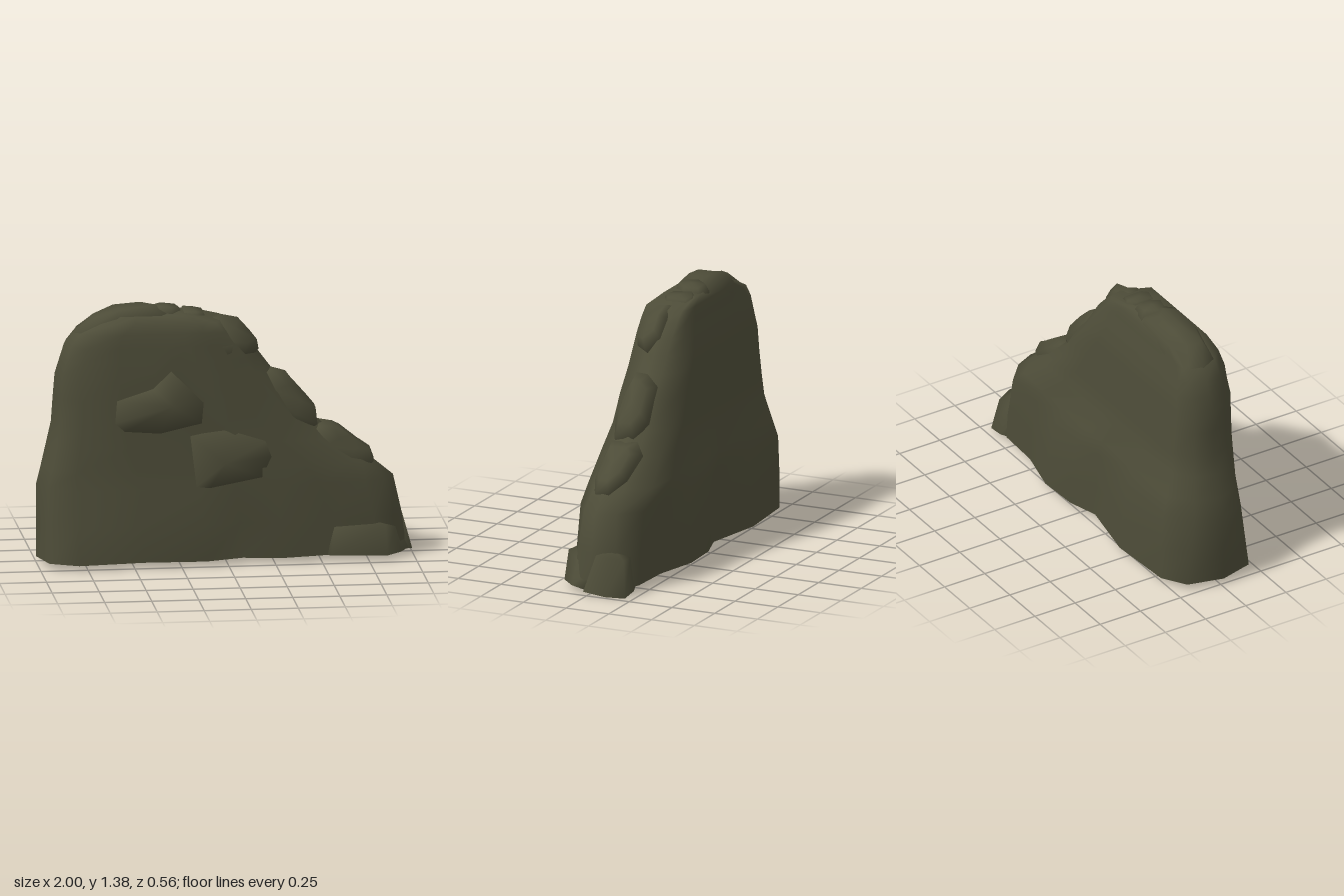
import * as THREE from 'three';

const rock = new THREE.MeshStandardMaterial({ color: 0x4d4c38, side: THREE.DoubleSide });
rock.name = 'mossy rock';

// Skins a stack of equal-length closed rings; optionally closes onto a tip.
function loft(name, rings, tip) {
  const n = rings[0].length, pos = rings.flat(2), index = [];
  for (let j = 0; j < rings.length - 1; j++) {
    for (let i = 0; i < n; i++) {
      const a = j * n + i, b = j * n + (i + 1) % n;
      index.push(a, b, b + n, a, b + n, a + n);
    }
  }
  if (tip) {
    const t = pos.length / 3, k = (rings.length - 1) * n;
    pos.push(...tip);
    for (let i = 0; i < n; i++) index.push(k + i, k + (i + 1) % n, t);
  }
  const g = new THREE.BufferGeometry();
  g.setAttribute('position', new THREE.Float32BufferAttribute(pos, 3));
  g.setIndex(index);
  g.computeVertexNormals();
  const mesh = new THREE.Mesh(g, rock);
  mesh.name = name;
  return mesh;
}

// Domed stone: an outline, a raised smaller outline, and a tip.
// lift is the outward offset, inner the size of the raised outline.
function stone(name, outline, lift, inner) {
  const c = [0, 1, 2].map(k => outline.reduce((s, p) => s + p[k], 0) / outline.length);
  const sunk = outline.map(p => p.map((v, k) => v - lift[k]));
  const raised = outline.map(p => p.map((v, k) => c[k] + (v - c[k]) * inner + lift[k] * 0.9));
  return loft(name, [sunk, outline, raised], c.map((v, k) => v + lift[k]));
}

export function createModel() {
  const group = new THREE.Group();
  group.name = 'rockWall';

  // Wall footprint, running left, front, right, back
  const footprint = [
    [-1, 0.02], [-0.95, 0.21], [-0.8, 0.28], [-0.45, 0.24], [-0.12, 0.25], [0.08, 0.185], [0.3, 0.215],
    [0.55, 0.17], [0.8, 0.16], [0.91, 0.12], [0.97, 0], [0.92, -0.14], [0.8, -0.21],
    [0.55, -0.22], [0.3, -0.28], [0.07, -0.27], [-0.1, -0.22], [-0.45, -0.285],
    [-0.82, -0.26], [-0.95, -0.18],
  ];
  // Height, left edge, right edge, front limit, back limit
  const rows = [
    [0.03, -1, 0.97, 0.28, 0.285], [0.22, -1, 0.945, 0.25, 0.27], [0.42, -1, 0.9, 0.222, 0.25],
    [0.52, -0.975, 0.78, 0.215, 0.22], [0.65, -0.945, 0.61, 0.21, 0.18], [0.76, -0.92, 0.46, 0.205, 0.17],
    [0.9, -0.91, 0.36, 0.2, 0.155], [1.02, -0.9, 0.25, 0.195, 0.145], [1.1, -0.875, 0.19, 0.185, 0.135],
    [1.18, -0.85, 0.13, 0.18, 0.115], [1.25, -0.79, 0.06, 0.17, 0.1], [1.3, -0.68, 0, 0.155, 0.09],
    [1.335, -0.6, -0.16, 0.12, 0.07], [1.345, -0.55, -0.25, 0.03, -0.03],
  ];
  // The two ends narrow with height
  const wallPoint = ([x, z], [y, l, r, f, b]) => {
    const end = Math.abs(x) > 0.9 ? 1 - 0.5 * Math.min(1, y / 0.8) : 1;
    return [l + (x + 1) / 1.97 * (r - l), y, Math.max(-b, Math.min(f, z * end))];
  };
  group.add(loft('wall', rows.map(row => footprint.map(p => wallPoint(p, row)))));

  // Stones standing out of the front face
  const faceStone = (name, pts, tip) =>
    loft(name, [pts.map(([x, y, z]) => [x, y, z - 0.05]), pts], tip);
  group.add(
    faceStone('upperFaceStone', [[-0.6, 0.78, 0.205], [-0.55, 0.735, 0.207], [-0.36, 0.72, 0.207],
      [-0.14, 0.77, 0.207], [-0.13, 0.88, 0.205], [-0.23, 0.98, 0.2], [-0.3, 1.05, 0.195],
      [-0.4, 0.96, 0.2], [-0.59, 0.9, 0.203]], [-0.3, 0.88, 0.275]),
    faceStone('lowerFaceStone', [[-0.17, 0.43, 0.223], [-0.1, 0.42, 0.22], [0.18, 0.47, 0.21],
      [0.23, 0.58, 0.21], [0.2, 0.66, 0.21], [0, 0.73, 0.2], [-0.2, 0.7, 0.211]], [-0.02, 0.56, 0.266]),
  );

  // Stones along the crest and down the slope: [x, y, z] outlines
  group.add(
    stone('crownStone', [[-0.8, 1.245, 0.02], [-0.77, 1.25, 0.1], [-0.58, 1.31, 0.13], [-0.34, 1.34, 0.11],
      [-0.26, 1.34, 0.02], [-0.36, 1.34, -0.08], [-0.6, 1.32, -0.09], [-0.78, 1.25, -0.06]], [0, 0.065, 0.01], 0.6),
    stone('smallCrestStoneA', [[-0.4, 1.335, 0], [-0.36, 1.335, 0.07], [-0.28, 1.33, 0.09],
      [-0.22, 1.32, 0.03], [-0.24, 1.32, -0.07], [-0.34, 1.33, -0.08]], [0, 0.045, 0], 0.75),
    stone('smallCrestStoneB', [[-0.23, 1.31, 0.08], [-0.15, 1.31, 0.1], [-0.1, 1.3, 0.07],
      [-0.1, 1.3, -0.06], [-0.17, 1.31, -0.08], [-0.23, 1.32, -0.05]], [0, 0.04, 0], 0.78),
    stone('shoulderStone', [[-0.1, 1.3, 0.06], [-0.08, 1.22, 0.16], [0.01, 1.14, 0.17], [0.1, 1.12, 0.13],
      [0.18, 1.13, 0.05], [0.13, 1.19, -0.01], [0.05, 1.28, -0.01], [-0.08, 1.31, 0]], [0.03, 0.04, 0.015], 0.75),
    stone('upperSlopeStone', [[0.24, 1.02, 0.07], [0.26, 0.92, 0.12], [0.37, 0.79, 0.13], [0.49, 0.72, 0.08],
      [0.49, 0.73, -0.03], [0.42, 0.81, -0.08], [0.28, 0.97, -0.07], [0.25, 1.02, 0]], [0.045, 0.035, 0], 0.65),
    stone('lowerSlopeStone', [[0.5, 0.71, 0.09], [0.53, 0.61, 0.13], [0.66, 0.52, 0.12], [0.79, 0.5, 0.05],
      [0.8, 0.51, -0.03], [0.7, 0.57, -0.09], [0.56, 0.68, -0.11], [0.5, 0.72, -0.06]], [0.04, 0.035, 0], 0.65),
  );

  // Open-bottomed stones at the foot of the slope
  group.add(
    loft('frontFootStone', [
      [[0.52, 0.03, 0.16], [0.55, 0.03, 0.19], [0.85, 0.025, 0.2], [0.93, 0.025, 0.12], [0.99, 0.025, 0], [0.75, 0.03, 0]],
      [[0.56, 0.18, 0.14], [0.57, 0.18, 0.17], [0.84, 0.19, 0.18], [0.9, 0.16, 0.1], [0.93, 0.12, 0.01], [0.75, 0.19, 0.02]],
    ], [0.78, 0.195, 0.1]),
    loft('backFootStone', [
      [[0.8, 0.025, -0.06], [0.88, 0.015, 0.03], [1, 0.02, 0.02], [0.98, 0, -0.1], [0.96, 0, -0.205], [0.86, 0.015, -0.21], [0.76, 0.03, -0.18]],
      [[0.8, 0.2, -0.05], [0.87, 0.21, -0.02], [0.95, 0.21, -0.03], [0.95, 0.21, -0.1], [0.92, 0.19, -0.18], [0.84, 0.19, -0.18], [0.76, 0.18, -0.15]],
    ], [0.87, 0.235, -0.1]),
  );
  return group;
}
